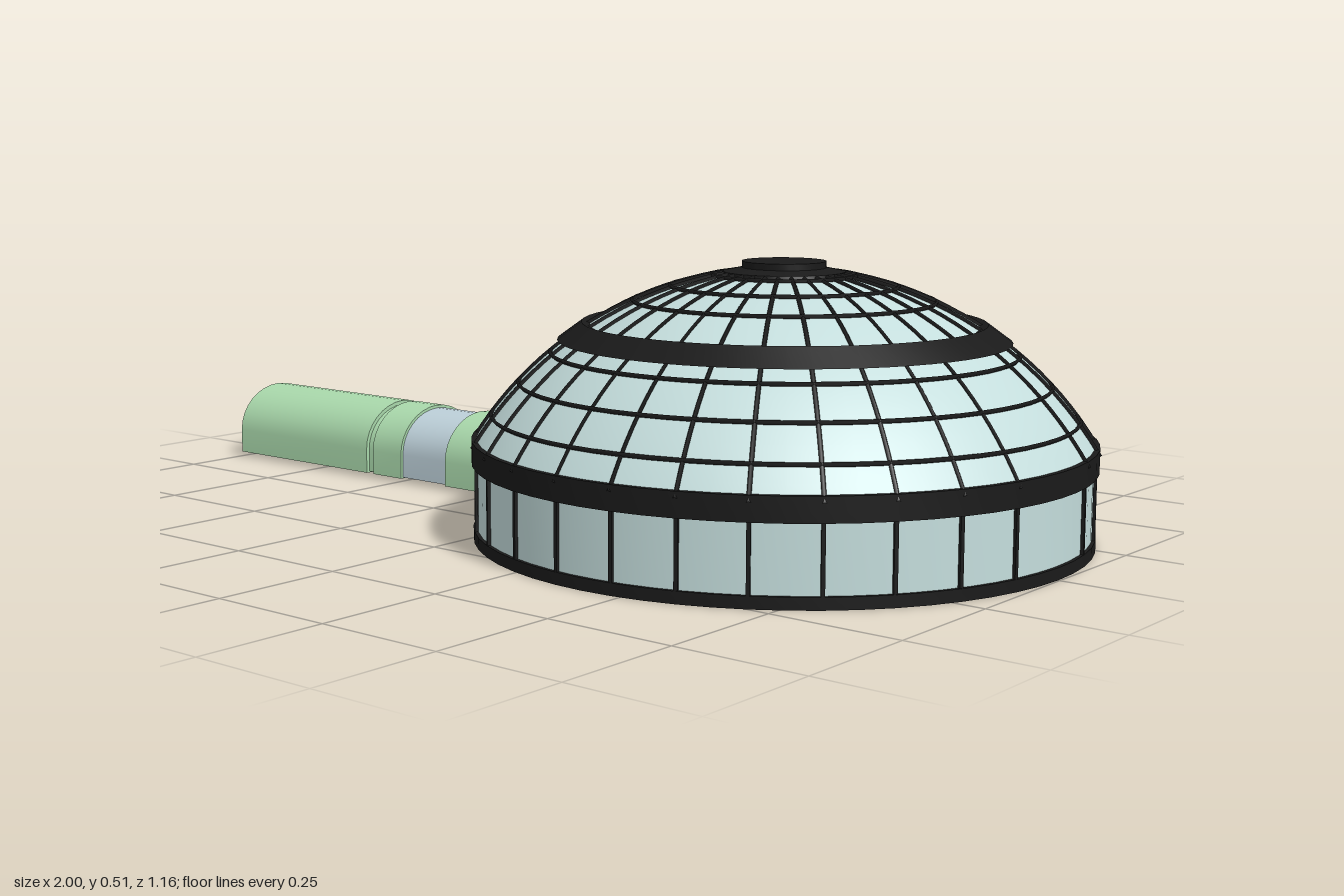
import * as THREE from 'three';
import { toCreasedNormals } from 'three/addons/utils/BufferGeometryUtils.js';

const mat = (color) => new THREE.MeshStandardMaterial({ color, side: THREE.DoubleSide });
const glass = mat(0xc4dddc), black = mat(0x1a1a1a), green = mat(0xa9d8ab), paleBlue = mat(0xbccfd8);

const CX = 0.42;            // dome centre in x
const R = 0.677;            // sphere radius of the dome shell
const CY = -0.177;          // height of the sphere centre
const DOOR = 0.285;         // half angle of the doorway in the wall
const SEG = 60, BARS = 30;

function add(parent, name, geometry, material) {
  const mesh = new THREE.Mesh(geometry, material);
  mesh.name = name;
  parent.add(mesh);
  return mesh;
}

function lathe(points, start = 0, length = Math.PI * 2) {
  const pts = points.map(([r, y]) => new THREE.Vector2(r, y));
  return toCreasedNormals(new THREE.LatheGeometry(pts, SEG, start, length), 0.6);
}

// Closed ring of quadrilateral section
const band = (points) => lathe([...points, points[0]]);

// Arch outline: flat floor, short upright sides, elliptical crown
function arch(w, y0, spring, top, Type = THREE.Shape) {
  const s = new Type();
  s.moveTo(-w, y0);
  s.lineTo(w, y0);
  for (let i = 0; i <= 16; i++) {
    const a = (i / 16) * Math.PI;
    s.lineTo(w * Math.cos(a), spring + (top - spring) * Math.sin(a));
  }
  s.closePath();
  return s;
}

// Hollow tunnel piece running along x
function tunnelPiece(x0, x1, inset) {
  const s = arch(0.11 - inset, 0.01 + inset * 0.3, 0.06, 0.155 - inset);
  s.holes.push(arch(0.095, 0.03, 0.06, 0.141, THREE.Path));
  const g = new THREE.ExtrudeGeometry(s, { depth: x1 - x0, bevelEnabled: false });
  g.rotateY(Math.PI / 2).translate(x0, 0, 0);
  return toCreasedNormals(g, 0.5);
}

// Doorway plate, bent to follow the round wall
function doorFrame() {
  const w = 0.165, s = new THREE.Shape();
  s.moveTo(-w, 0);
  for (let i = 0; i <= 12; i++) s.lineTo(-w + (2 * w * i) / 12, 0);
  for (let i = 0; i <= 12; i++) s.lineTo(w - (2 * w * i) / 12, 0.155);
  s.closePath();
  s.holes.push(arch(0.095, 0.03, 0.06, 0.141, THREE.Path));
  const g = new THREE.ExtrudeGeometry(s, { depth: 0.022, bevelEnabled: false });
  const p = g.attributes.position;
  for (let i = 0; i < p.count; i++) {
    const z = p.getX(i), r = 0.56 + p.getZ(i);
    p.setXYZ(i, -Math.sqrt(r * r - z * z), p.getY(i), z);
  }
  return toCreasedNormals(g, 0.5);
}

function createDome() {
  const dome = new THREE.Group();
  dome.name = 'dome';
  dome.position.x = CX;

  // Glass shell and wall
  const e0 = Math.asin((0.175 - CY) / R);
  const shell = [];
  for (let i = 0; i <= 20; i++) {
    const e = e0 + (Math.PI / 2 - e0) * (i / 20);
    shell.push([Math.max(R * Math.cos(e), 0.001), CY + R * Math.sin(e)]);
  }
  add(dome, 'glassShell', lathe(shell), glass);
  add(dome, 'glassWall', lathe([[0.57, 0.01], [0.57, 0.16]],
    Math.PI * 1.5 + DOOR, Math.PI * 2 - 2 * DOOR), glass);

  // Black bands and roof cap
  add(dome, 'baseRing', band([[0.565, 0], [0.577, 0], [0.577, 0.022], [0.565, 0.022]]), black);
  add(dome, 'eaveBand', band([[0.562, 0.143], [0.58, 0.143], [0.58, 0.188], [0.562, 0.188]]), black);
  add(dome, 'upperBand', band([[0.392, 0.37], [0.42, 0.37], [0.375, 0.403], [0.355, 0.395]]), black);
  add(dome, 'roofCap', lathe([[0.001, 0.489], [0.115, 0.489], [0.113, 0.496], [0.078, 0.503],
    [0.078, 0.515], [0.001, 0.515]]), black);

  // Horizontal glazing bars
  const rings = new THREE.Group();
  rings.name = 'ringBars';
  dome.add(rings);
  for (const y of [0.23, 0.29, 0.345, 0.44, 0.467, 0.487]) {
    const r = Math.sqrt(R * R - (y - CY) ** 2) + 0.002;
    const g = new THREE.TorusGeometry(r, 0.004, 4, SEG).rotateX(Math.PI / 2);
    add(rings, 'ringBar', g, black).position.y = y + 0.002;
  }

  // Curved ribs over the shell and upright bars on the wall
  const ribs = new THREE.Group();
  ribs.name = 'ribs';
  dome.add(ribs);
  const e1 = Math.acos(0.11 / R), eBand = Math.asin((0.385 - CY) / R);
  const rib = (from) => new THREE.TorusGeometry(R + 0.002, 0.004, 4, 20, e1 - from)
    .rotateZ(from).translate(0, CY, 0);
  const fullRib = rib(e0), shortRib = rib(eBand);
  const post = new THREE.BoxGeometry(0.006, 0.135, 0.007).translate(0.573, 0.083, 0);
  for (let i = 0; i < BARS; i++) {
    const a = (i / BARS) * Math.PI * 2;
    add(ribs, 'rib', i === 0 ? shortRib : fullRib, black).rotation.y = a;
    if (i > 0 && Math.abs(a - Math.PI) > DOOR) add(ribs, 'wallPost', post, black).rotation.y = a;
  }

  add(dome, 'doorFrame', doorFrame(), black);
  return dome;
}

function createTunnel() {
  const tunnel = new THREE.Group();
  tunnel.name = 'tunnel';
  add(tunnel, 'outerTunnel', tunnelPiece(-1, -0.59, 0), green);
  add(tunnel, 'jointRing', tunnelPiece(-0.59, -0.57, 0.008), green);
  add(tunnel, 'collar', tunnelPiece(-0.57, -0.485, 0), green);
  add(tunnel, 'windowSection', tunnelPiece(-0.485, -0.355, 0.006), paleBlue);
  add(tunnel, 'innerTunnel', tunnelPiece(-0.355, -0.145, 0), green);
  return tunnel;
}

export function createModel() {
  const model = new THREE.Group();
  model.name = 'domeWithTunnel';
  model.add(createDome(), createTunnel());
  return model;
}
